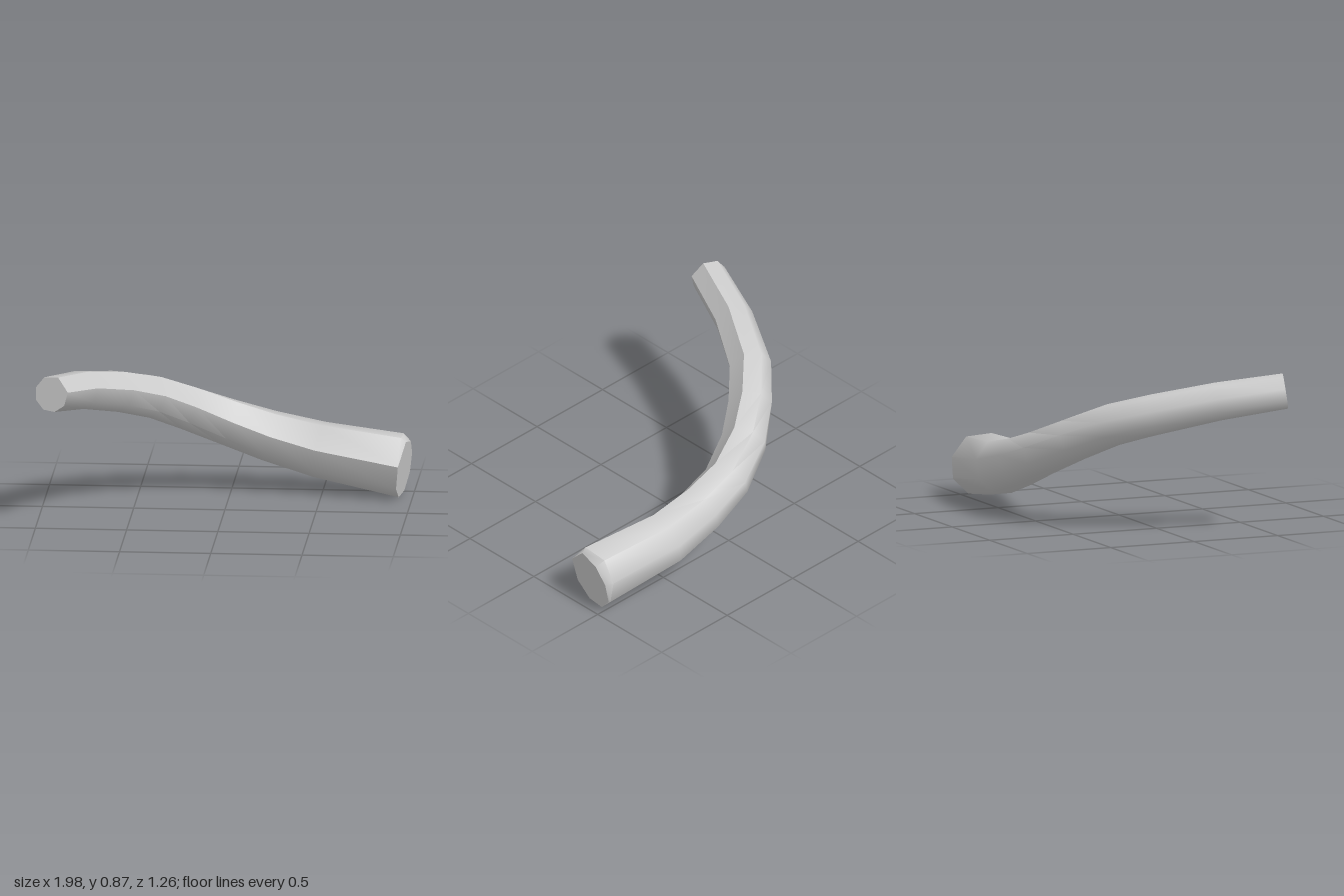
import * as THREE from 'three';
import { toCreasedNormals } from 'three/addons/utils/BufferGeometryUtils.js';

// Centre line of the branch with its radius: x, y, z, r
const STATIONS = [
  [-0.905, 0.785, 0.59, 0.10],
  [-0.77, 0.73, 0.25, 0.108],
  [-0.595, 0.65, -0.06, 0.117],
  [-0.42, 0.58, -0.24, 0.122],
  [-0.24, 0.49, -0.375, 0.127],
  [-0.02, 0.39, -0.465, 0.132],
  [0.21, 0.31, -0.485, 0.143],
  [0.48, 0.24, -0.48, 0.157],
  [0.955, 0.175, -0.40, 0.177],
];
// Uneven section, with one broad flat facet on the upper inner side
const ANGLES = [10, 70, 120, 165, 205, 245, 285, 325].map(THREE.MathUtils.degToRad);

function buildBranch() {
  const centres = STATIONS.map(([x, y, z]) => new THREE.Vector3(x, y, z));
  const up = new THREE.Vector3(0, 1, 0);
  const last = centres.length - 1;
  const n = ANGLES.length;

  // Cross-sections square to the centre line
  const rings = centres.map((c, i) => {
    const before = centres[Math.max(i - 1, 0)];
    const after = centres[Math.min(i + 1, last)];
    const along = after.clone().sub(before).normalize();
    const side = along.clone().cross(up).normalize();
    const rise = side.clone().cross(along);
    const r = STATIONS[i][3];
    return ANGLES.map((a) => c.clone()
      .addScaledVector(side, r * Math.cos(a))
      .addScaledVector(rise, r * Math.sin(a)));
  });

  // Chipped bevel on the upper back of the thick end
  const end = rings[last];
  const along = centres[last].clone().sub(centres[last - 1]).normalize();
  const tip = end.map((p, j) => {
    const w = Math.max(0, Math.cos(ANGLES[j] - THREE.MathUtils.degToRad(125)));
    const q = p.clone().lerp(centres[last], 0.2 * w);
    p.addScaledVector(along, -0.05 * w);
    return q;
  });
  rings.push(tip);

  const points = [];
  const add = (...corners) => corners.forEach((p) => points.push(p.x, p.y, p.z));
  for (let j = 0; j < n; j++) {
    const k = (j + 1) % n;
    for (let i = 0; i < rings.length - 1; i++) {
      const [a, b] = [rings[i], rings[i + 1]];
      // Below the chip the two end rings coincide
      if (a[j].distanceTo(b[j]) > 1e-5) add(a[j], b[j], a[k]);
      if (a[k].distanceTo(b[k]) > 1e-5) add(a[k], b[j], b[k]);
    }
    // Flat cut ends
    add(centres[0], rings[0][j], rings[0][k]);
    add(centres[last], tip[k], tip[j]);
  }
  const geometry = new THREE.BufferGeometry();
  geometry.setAttribute('position', new THREE.Float32BufferAttribute(points, 3));
  return toCreasedNormals(geometry, 0.9);
}

export function createModel() {
  const group = new THREE.Group();
  group.name = 'bentBranch';
  const branch = new THREE.Mesh(buildBranch(), new THREE.MeshStandardMaterial({ color: 0xcccccc }));
  branch.name = 'branch';
  group.add(branch);
  return group;
}
